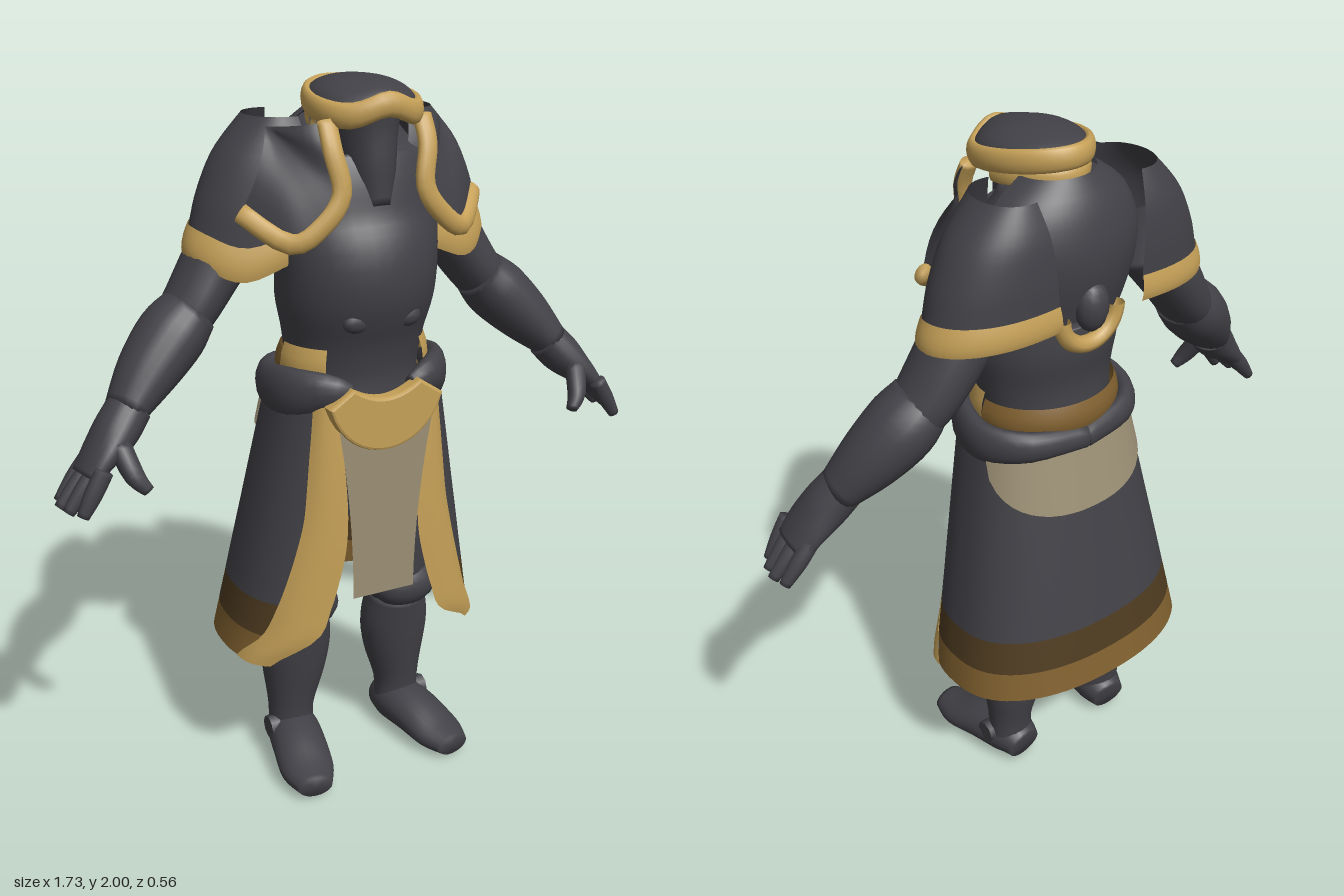
import * as THREE from 'three';
import { mergeVertices } from 'three/addons/utils/BufferGeometryUtils.js';

const V = (a) => new THREE.Vector3(a[0], a[1], a[2]);
const lerp = THREE.MathUtils.lerp;

// Smooth interpolation of equal-length number rows, t in 0..1
function sample(rows, t) {
  const f = t * (rows.length - 1), i = Math.min(Math.floor(f), rows.length - 2), k = f - i;
  const at = (j) => rows[Math.max(0, Math.min(rows.length - 1, j))];
  return rows[0].map((_, c) => {
    const a = at(i - 1)[c], b = at(i)[c], d = at(i + 1)[c], e = at(i + 2)[c];
    return b + 0.5 * k * (d - a + k * (2 * a - 5 * b + 4 * d - e + k * (3 * (b - d) + e - a)));
  });
}

// Grid surface from fn(u, v) -> [x, y, z]
function surface(fn, nu, nv) {
  const pos = [], idx = [];
  for (let j = 0; j <= nv; j++) for (let i = 0; i <= nu; i++) pos.push(...fn(i / nu, j / nv));
  for (let j = 0; j < nv; j++) for (let i = 0; i < nu; i++) {
    const a = j * (nu + 1) + i, b = a + 1, c = a + nu + 1, d = c + 1;
    idx.push(a, b, d, a, d, c);
  }
  let g = new THREE.BufferGeometry();
  g.setAttribute('position', new THREE.Float32BufferAttribute(pos, 3));
  g.setIndex(idx);
  g = mergeVertices(g, 1e-5);
  g.computeVertexNormals();
  return g;
}

// Closed limb through rows of [x, y, z, radius, radius along ref]
function limb(rows, ref = [0, 0, 1], nu = 20) {
  const steps = (rows.length - 1) * 4, r = V(ref);
  return surface((u, v) => {
    const k = Math.round(v * (steps + 2)) - 1;
    const t = Math.max(0, Math.min(1, k / steps));
    const s = k < 0 || k > steps ? 0 : 1;
    const p = sample(rows, t);
    const T = V(sample(rows, Math.min(1, t + 0.01))).sub(V(sample(rows, Math.max(0, t - 0.01)))).normalize();
    const B = r.clone().addScaledVector(T, -r.dot(T)).normalize();
    const A = T.clone().cross(B), th = u * Math.PI * 2;
    return V(p).addScaledVector(A, s * p[3] * Math.sin(th)).addScaledVector(B, s * p[4] * Math.cos(th)).toArray();
  }, nu, steps + 2);
}

function mirrored(geo) {
  const g = geo.clone().scale(-1, 1, 1), ix = g.index.array;
  for (let i = 0; i < ix.length; i += 3) [ix[i], ix[i + 1]] = [ix[i + 1], ix[i]];
  return g;
}

export function createModel() {
  const root = new THREE.Group();
  const mat = (name, color) => Object.assign(new THREE.MeshStandardMaterial({ color, side: THREE.DoubleSide }), { name });
  const dark = mat('dark armour', 0x424147), gold = mat('gold trim', 0xc6a158), cloth = mat('pale cloth', 0x9c9075);
  const umber = mat('dark brown band', 0x4e3b20), brown = mat('brown hem', 0x80602f);
  const add = (name, geo, m) => {
    const mesh = new THREE.Mesh(geo, m);
    mesh.name = name;
    root.add(mesh);
  };
  const pair = (name, geo, m) => {
    add(name + 'Left', geo, m);
    add(name + 'Right', mirrored(geo), m);
  };

  // Torso, back mantle and covered face
  add('torso', limb([[0, 1.1, .04, .21, .17], [0, 1.22, .04, .19, .16], [0, 1.32, .05, .2, .165], [0, 1.42, .06, .22, .19],
    [0, 1.52, .07, .225, .195], [0, 1.62, .05, .24, .175], [0, 1.72, .03, .23, .17], [0, 1.8, .01, .2, .15], [0, 1.88, .02, .13, .11]], [0, 0, 1], 36), dark);
  const mantleRows = [[.2, .14, 1.54], [.23, .165, 1.64], [.24, .17, 1.74], [.2, .145, 1.84], [.11, .1, 1.91]];
  add('backMantle', surface((u, v) => {
    const [rx, rz, y] = sample(mantleRows, v), th = lerp(.5, 1.5, u) * Math.PI;
    return [rx * Math.sin(th), y, rz * Math.cos(th)];
  }, 28, 12), dark);
  add('face', limb([[0, 1.67, .18, .04, .045], [0, 1.75, .14, .065, .09], [0, 1.85, .1, .085, .125], [0, 1.94, .08, .11, .145]]), dark);
  pair('bellyKnob', new THREE.SphereGeometry(1, 12, 8).scale(.04, .03, .022).translate(.075, 1.39, .218), dark);

  // Hood cap, tilted brim with a front arch, and the half band behind the neck
  const brimY = (th) => 1.93 - .024 * Math.cos(th) + .036 * Math.max(0, Math.cos(th)) ** 10;
  const oval = (th, r, y) => [r * .142 * Math.sin(th) * (1 + .13 * Math.cos(th)), y, .083 + r * .17 * Math.cos(th)];
  add('hoodCap', surface((u, v) => {
    const th = u * Math.PI * 2, a = v * Math.PI / 2, y = brimY(th) + .01;
    return oval(th, .95 * Math.cos(a), y + (2 - y) * Math.sin(a));
  }, 36, 10), dark);
  const band = (a0, a1, yFn, r, h, w) => surface((u, v) => {
    const th = lerp(a0, a1, u), a = v * Math.PI * 2;
    return oval(th, r - w * Math.cos(a), yFn(th) + h * Math.sin(a));
  }, 40, 12);
  add('hoodBrim', band(0, Math.PI * 2, brimY, .95, .032, .11), gold);
  add('neckBand', band(Math.PI * .5, Math.PI * 1.5, () => 1.9, .92, .027, .07), gold);

  // Collar panels with gold edging
  const edge = [[.135, 1.9, .17], [.135, 1.83, .205], [.12, 1.73, .225], [.17, 1.655, .225], [.25, 1.61, .2], [.34, 1.68, .1]];
  pair('collarPanel', surface((u, v) => {
    const p = sample(edge, u), q = [.25, 1.88, .06], bulge = .03 * Math.sin(v * Math.PI);
    return [0, 1, 2].map((i) => lerp(p[i], q[i], v) + (i === 2 ? bulge : 0));
  }, 20, 8), dark);
  pair('collarTrim', limb(edge.map((p) => [...p, .027, .018]), [0, 0, 1], 12), gold);

  // Shoulder shells: arcs sweeping front to back, with a pointed gold hem
  const shellRows = [[.44, .152, 1.55], [.42, .15, 1.625], [.395, .148, 1.71], [.345, .135, 1.81], [.265, .1, 1.9]];
  const shell = (v, u, off) => {
    const [x, rz, y] = sample(shellRows, v), a = lerp(-.2, Math.PI + .15, u), s = Math.sin(a);
    const dip = -.06 * Math.exp(-(((u - .22) / .14) ** 2)) * (1 - v);
    return [.18 + (x - .18 + off) * Math.sign(s) * Math.abs(s) ** .9, y + dip + .03 * Math.abs(u - .4) * (1 - v), -.04 + (rz + off) * Math.cos(a)];
  };
  pair('shoulderShell', surface((u, v) => shell(lerp(.22, 1, v), u, 0), 24, 14), dark);
  pair('shoulderHem', surface((u, v) => shell(lerp(0, .25, v), u, .003 + .006 * Math.sin(v * Math.PI)), 28, 5), gold);

  // Back crescent and boss
  add('backCrescent', new THREE.TorusGeometry(.09, .024, 8, 20, Math.PI).rotateZ(Math.PI).translate(0, 1.56, -.14), gold);
  add('backBoss', new THREE.SphereGeometry(1, 12, 10).scale(.05, .07, .04).translate(0, 1.58, -.15), dark);

  // Arms
  pair('upperArm', limb([[.27, 1.66, -.04, .1, .1], [.36, 1.53, -.04, .085, .1], [.43, 1.43, -.03, .075, .095], [.48, 1.37, -.02, .07, .08]]), dark);
  pair('forearm', limb([[.445, 1.41, -.02, .075, .09], [.5, 1.355, -.01, .09, .102], [.58, 1.275, .02, .08, .09], [.66, 1.19, .06, .052, .065]]), dark);
  pair('hand', limb([[.645, 1.2, .055, .058, .065], [.69, 1.15, .075, .058, .07], [.74, 1.1, .09, .042, .075], [.785, 1.05, .1, .028, .07]]), dark);
  for (let i = 0; i < 4; i++) {
    const z = .045 + i * .042, reach = [.845, .855, .845, .82][i];
    pair('finger' + (i + 1), limb([[.755, 1.085, z, .024, .022], [lerp(.755, reach, .5), 1.03, z + .003, .024, .022], [reach, .975, z + .008, .016, .015]], [0, 0, 1], 10), dark);
  }
  pair('thumb', limb([[.7, 1.13, .13, .03, .03], [.68, 1.06, .175, .027, .027], [.65, 1.02, .195, .016, .016]], [0, 0, 1], 10), dark);

  // Legs and boots
  pair('thigh', limb([[.16, .48, .03, .09, .09], [.14, .7, .03, .11, .11], [.12, 1.05, .03, .1, .12]]), dark);
  pair('knee', new THREE.SphereGeometry(1, 18, 12).scale(.105, .075, .07).translate(.165, .515, .07), dark);
  pair('shin', limb([[.18, .07, 0, .07, .06], [.18, .16, 0, .07, .065], [.17, .28, 0, .095, .085], [.165, .38, .01, .105, .09], [.16, .48, .03, .085, .085]]), dark);
  pair('foot', limb([[.175, .055, -.065, .055, .05], [.18, .07, 0, .075, .07], [.2, .065, .1, .08, .062], [.22, .045, .2, .078, .045], [.23, .038, .275, .05, .032]], [0, 1, 0]), dark);
  pair('ankleDisc', new THREE.CylinderGeometry(.034, .034, .03, 8).rotateZ(Math.PI / 2).translate(.25, .1, .02), dark);

  // Split skirt: oval that is squarer in front and flares downward
  const skirt = (th, y, off = 0) => {
    const t = (1.2 - y) / .78, zb = -.13 - .15 * t, zf = .235 + .015 * t, e = .83 - .06 * Math.cos(th);
    const pw = (q) => Math.sign(q) * Math.abs(q) ** e;
    return [(.24 + .15 * t + off) * pw(Math.sin(th)), y - .015 * t * Math.cos(th), (zb + zf) / 2 + ((zf - zb) / 2 + off) * pw(Math.cos(th))];
  };
  const low = .415, top = 1.2;
  // Opening angle and trim outer angle, from hem to waist
  const openRows = [[.88, 1.3], [.46, 1.02], [.36, .9], [.3, .82], [.26, .76], [.26, .72], [.29, .73], [.34, .75], [.4, .77], [.45, .8]];
  const opening = (y) => sample(openRows, (y - low) / (top - low));
  const skirtBand = (y0, y1, nv) => surface((u, v) => {
    const y = lerp(y0, y1, v), a = opening(y)[1] - .04;
    return skirt(lerp(a, Math.PI * 2 - a, u), y);
  }, 48, nv);
  add('skirt', skirtBand(.6, top, 12), dark);
  add('skirtBand', skirtBand(.5, .6, 3), umber);
  add('skirtHem', skirtBand(low, .5, 3), brown);
  pair('skirtTrim', surface((u, v) => {
    const y = lerp(low, top, v), [a, b] = opening(y);
    return skirt(lerp(a, b, u), y, .008 * Math.sin(u * Math.PI) + .002);
  }, 8, 32), gold);

  // Cloth at front and back
  add('frontCloth', surface((u, v) => {
    const y = lerp(.6, 1.16, v);
    return [(u * 2 - 1) * (.095 + .055 * v * v), y, .25 - .006 * (1 - v)];
  }, 4, 8), cloth);
  add('backCloth', surface((u, v) => {
    const s = u * 2 - 1;
    return skirt(Math.PI - s * 1.35, lerp(1.17 - .2 * Math.sqrt(Math.max(0, 1 - s * s)), 1.18, v), .007);
  }, 24, 5), cloth);

  // Belt, buckle and hip wraps
  const belt = (a, b, y1) => surface((u, v) => {
    const th = lerp(a, b, u), k = .014 * Math.sin(v * Math.PI);
    return [(.202 + k) * Math.sin(th), lerp(1.19, y1, v), .045 + (.175 + k) * Math.cos(th)];
  }, 28, 4);
  pair('beltFront', belt(.75, Math.PI / 2, 1.31), gold);
  add('beltBack', belt(Math.PI / 2, Math.PI * 1.5, 1.29), brown);
  const crescent = new THREE.Shape();
  crescent.moveTo(-.16, 1.17);
  crescent.bezierCurveTo(-.11, 1, .11, 1, .16, 1.17);
  crescent.lineTo(.1, 1.21);
  crescent.quadraticCurveTo(0, 1.14, -.1, 1.21);
  add('buckle', new THREE.ExtrudeGeometry(crescent, { depth: .03, bevelEnabled: true, bevelSize: .008, bevelThickness: .008, bevelSegments: 2, curveSegments: 16 }).translate(0, 0, .22), gold);
  pair('hipWrap', limb([[.09, 1.19, .22, .02, .03], [.15, 1.205, .2, .032, .05], [.22, 1.19, .12, .035, .072],
    [.235, 1.185, 0, .032, .06], [.16, 1.19, -.1, .03, .045], [0, 1.18, -.135, .025, .035]], [0, 1, 0], 16), dark);

  return root;
}
